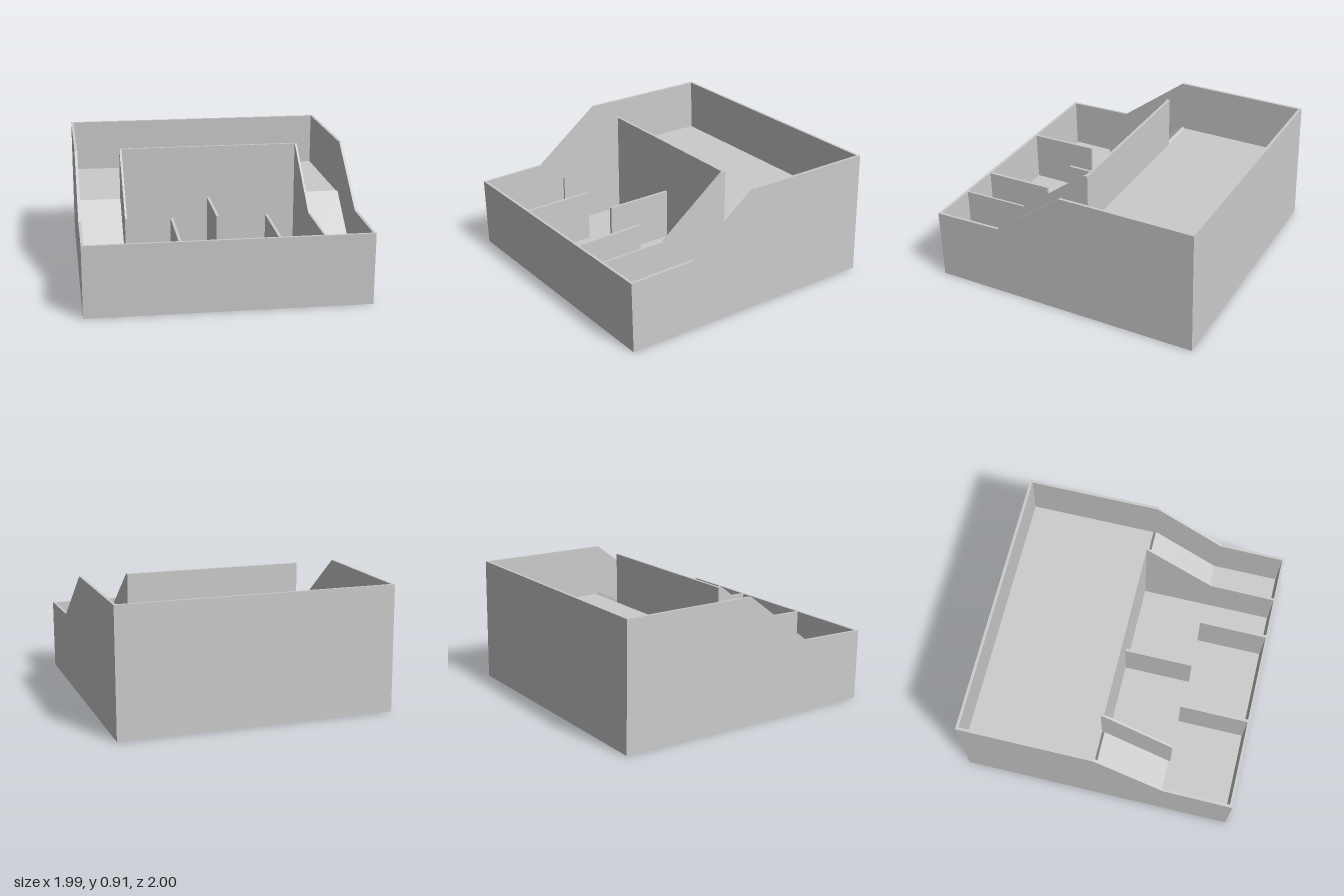
import * as THREE from 'three';

// Open desk tray with a stepped side profile, raised rear shelf and dividers.
export function createModel() {
  const model = new THREE.Group();
  const material = new THREE.MeshStandardMaterial({ color: 0xcccccc, flatShading: true });
  const W = 0.995, T = 0.02, FLOOR = 0.15, SHELF = 0.52;

  // Extrudes a [z, y] outline across the tray from x0 to x1.
  function slab(name, x0, x1, points) {
    const shape = new THREE.Shape(points.map(([z, y]) => new THREE.Vector2(z, y)));
    const geometry = new THREE.ExtrudeGeometry(shape, { depth: x1 - x0, bevelEnabled: false });
    geometry.rotateY(-Math.PI / 2);
    geometry.translate(x1, 0, 0);
    const mesh = new THREE.Mesh(geometry, material);
    mesh.name = name;
    model.add(mesh);
  }
  const rect = (z0, z1, y0, y1) => [[z0, y0], [z1, y0], [z1, y1], [z0, y1]];

  // outer walls, following the sloping profile
  const side = [[-1, 0], [0.99, 0], [1, 0.513], [0.5, 0.525], [0, 0.91], [-0.985, 0.91]];
  slab('rightWall', -W, -W + T, side);
  slab('leftWall', W - T, W, side);
  slab('frontWall', -W + T, W - T, [[0.97, 0], [0.99, 0], [1, 0.513], [0.98, 0.513]]);
  slab('backWall', -W + T, W - T, [[-1, 0], [-0.98, 0], [-0.965, 0.91], [-0.985, 0.91]]);

  // base and raised rear shelf
  slab('base', -W + T, W - T, rect(-0.98, 0.972, 0, FLOOR));
  slab('rearShelf', -W + T, W - T, rect(-0.974, -0.03, SHELF - T, SHELF));

  // upright panel in front of the shelf
  slab('middlePanel', -0.67, 0.65, rect(-0.03, -0.01, FLOOR, 0.91));

  // compartment sides: a short one and a full-length one
  slab('rightDivider', -0.67, -0.655,
    [[-0.01, FLOOR], [0.49, FLOOR], [0.49, 0.53], [0, 0.91], [-0.01, 0.91]]);
  slab('leftDivider', 0.635, 0.65,
    [[-0.01, FLOOR], [0.974, FLOOR], [0.98, 0.513], [0.5, 0.522], [0, 0.91], [-0.01, 0.91]]);

  // sloping chutes down both sides
  const ramp = [[-0.03, 0.51], [0.46, 0.12], [0.48, 0.147], [-0.01, 0.533]];
  slab('rightRamp', -W + T, -0.67, ramp);
  slab('leftRamp', 0.65, W - T, ramp);

  // low dividers
  slab('centreDivider', -0.025, -0.005, rect(-0.01, 0.49, FLOOR, 0.522));
  for (const x of [-0.34, 0.335]) {
    slab('frontDivider', x - 0.01, x + 0.01,
      [[0.48, FLOOR], [0.974, FLOOR], [0.98, 0.513], [0.48, 0.52]]);
  }

  return model;
}
